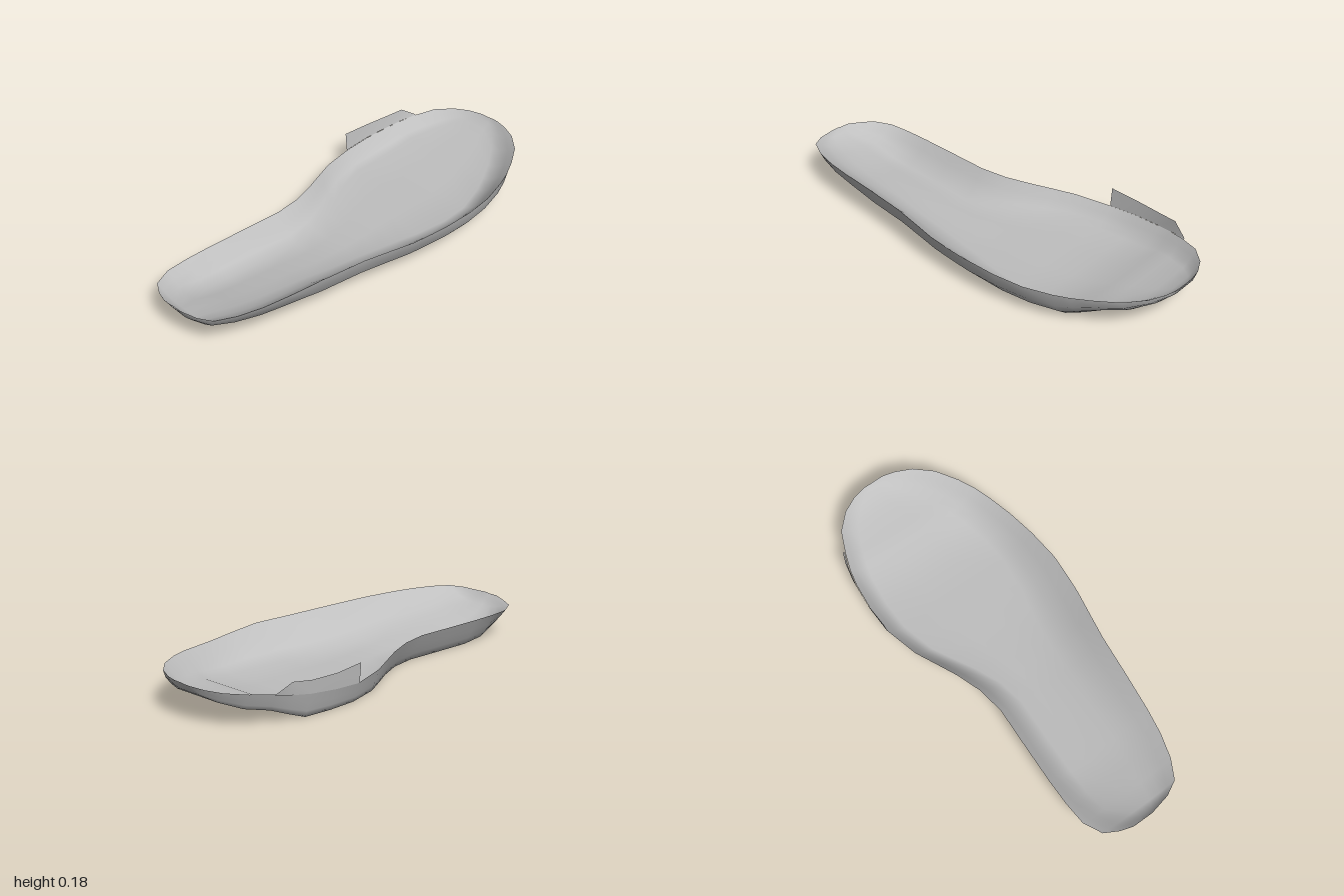
import * as THREE from 'three';

const { lerp, smoothstep } = THREE.MathUtils;

// Stations from toe to heel: z, left x, right x, left rim y, right rim y, underside y
const STATIONS = [
  [-1.00, 0.00, -0.10, 0.160, 0.157, 0.157],
  [-0.985, 0.06, -0.17, 0.160, 0.153, 0.125],
  [-0.95, 0.135, -0.24, 0.160, 0.148, 0.102],
  [-0.88, 0.215, -0.31, 0.158, 0.142, 0.075],
  [-0.78, 0.28, -0.353, 0.155, 0.130, 0.055],
  [-0.70, 0.32, -0.38, 0.150, 0.116, 0.025],
  [-0.63, 0.345, -0.394, 0.145, 0.107, 0],
  [-0.50, 0.38, -0.405, 0.141, 0.098, 0],
  [-0.36, 0.402, -0.40, 0.148, 0.091, 0],
  [-0.20, 0.412, -0.36, 0.160, 0.102, 0],
  [-0.10, 0.405, -0.315, 0.161, 0.112, 0],
  [0.00, 0.395, -0.27, 0.163, 0.120, 0],
  [0.12, 0.373, -0.228, 0.170, 0.126, 0],
  [0.25, 0.35, -0.208, 0.177, 0.130, 0],
  [0.45, 0.328, -0.216, 0.182, 0.131, 0],
  [0.63, 0.307, -0.222, 0.181, 0.132, 0],
  [0.75, 0.287, -0.222, 0.179, 0.133, 0.012],
  [0.86, 0.255, -0.214, 0.177, 0.134, 0.055],
  [0.945, 0.21, -0.172, 0.174, 0.138, 0.095],
  [0.98, 0.145, -0.11, 0.170, 0.145, 0.122],
  [1.00, 0.05, -0.05, 0.162, 0.155, 0.157],
];

// Side flap: z, x, bottom y, top y
const FLAP = [
  [-0.79, -0.352, 0.128, 0.130],
  [-0.72, -0.378, 0.117, 0.174],
  [-0.63, -0.396, 0.106, 0.166],
  [-0.50, -0.407, 0.097, 0.168],
  [-0.36, -0.402, 0.090, 0.180],
];

// Wall profiles: fraction of inset, fraction of wall height
const OUTER_LEFT = [[0, 1], [0.15, 0.55], [0.55, 0.22], [1, 0]];
const OUTER_RIGHT = [[0, 1], [0.42, 0.55], [0.73, 0.25], [1, 0]];
const INNER = [[0, 1], [0.3, 0.6], [0.62, 0.22], [1, 0]];

function section([z, xl, xr, yl, yr, base], inner) {
  const maxInset = (xl - xr) * 0.33;
  const extra = inner ? 0.05 : 0;
  const insetL = Math.min(0.09 + 0.065 * smoothstep(z, -0.5, 0) + extra, maxInset);
  const insetR = Math.min(0.035 + 0.035 * smoothstep(z, -0.3, 0.2) + extra, maxInset);

  // The heel floor tilts up toward the left; the footbed also ramps into toe and heel
  let floorR = base;
  let floorL = base + 0.045 * smoothstep(z, 0.4, 0.7) * (1 - smoothstep(z, 0.72, 0.97));
  if (inner) {
    const ramp = 0.018 * smoothstep(-z, 0.5, 0.63) * (1 - smoothstep(-z, 0.68, 0.8))
      + 0.015 * smoothstep(z, 0.2, 0.7) * (1 - smoothstep(z, 0.8, 0.95));
    const tilt = 0.045 * smoothstep(z, -0.1, 0.6) * (1 - smoothstep(z, 0.75, 1));
    floorR = Math.min(base + 0.014 + ramp, yr);
    floorL = Math.min(base + 0.014 + ramp + tilt, yl);
  }

  const wallL = inner ? INNER : OUTER_LEFT;
  const wallR = inner ? INNER : OUTER_RIGHT;
  const left = wallL.map(([u, v]) => [xl - u * insetL, lerp(floorL, yl, v), z]);
  const right = wallR.map(([u, v]) => [xr + u * insetR, lerp(floorR, yr, v), z]).reverse();
  const middle = [0.33, 0.67].map(t =>
    [lerp(xl - insetL, xr + insetR, t), lerp(floorL, floorR, t), z]);
  return [...left, ...middle, ...right];
}

// Skin rows of points into a smooth surface
function skin(rows, flip) {
  const n = rows[0].length;
  const index = [];
  for (let i = 0; i < rows.length - 1; i++) {
    for (let j = 0; j < n - 1; j++) {
      const a = i * n + j, b = a + n, c = a + 1, d = b + 1;
      if (flip) index.push(a, c, b, b, c, d);
      else index.push(a, b, c, b, d, c);
    }
  }
  const geometry = new THREE.BufferGeometry();
  geometry.setAttribute('position', new THREE.Float32BufferAttribute(rows.flat(2), 3));
  geometry.setIndex(index);
  geometry.computeVertexNormals();
  return geometry;
}

export function createModel() {
  const group = new THREE.Group();
  group.name = 'insole';
  const grey = new THREE.MeshStandardMaterial({ color: 0xbfbfbf, side: THREE.DoubleSide });
  grey.name = 'grey';
  const add = (name, geometry) => {
    const mesh = new THREE.Mesh(geometry, grey);
    mesh.name = name;
    group.add(mesh);
  };

  // Cupped footbed and the underside that meets it along the rim
  add('footbed', skin(STATIONS.map(s => section(s, true)), true));
  add('underside', skin(STATIONS.map(s => section(s, false)), false));

  // Thin upright flap on the right rim of the forefoot
  add('sideFlap', skin(FLAP.map(([z, x, y0, y1]) => [[x, y0, z], [x - 0.008, y1, z]]), false));
  return group;
}
